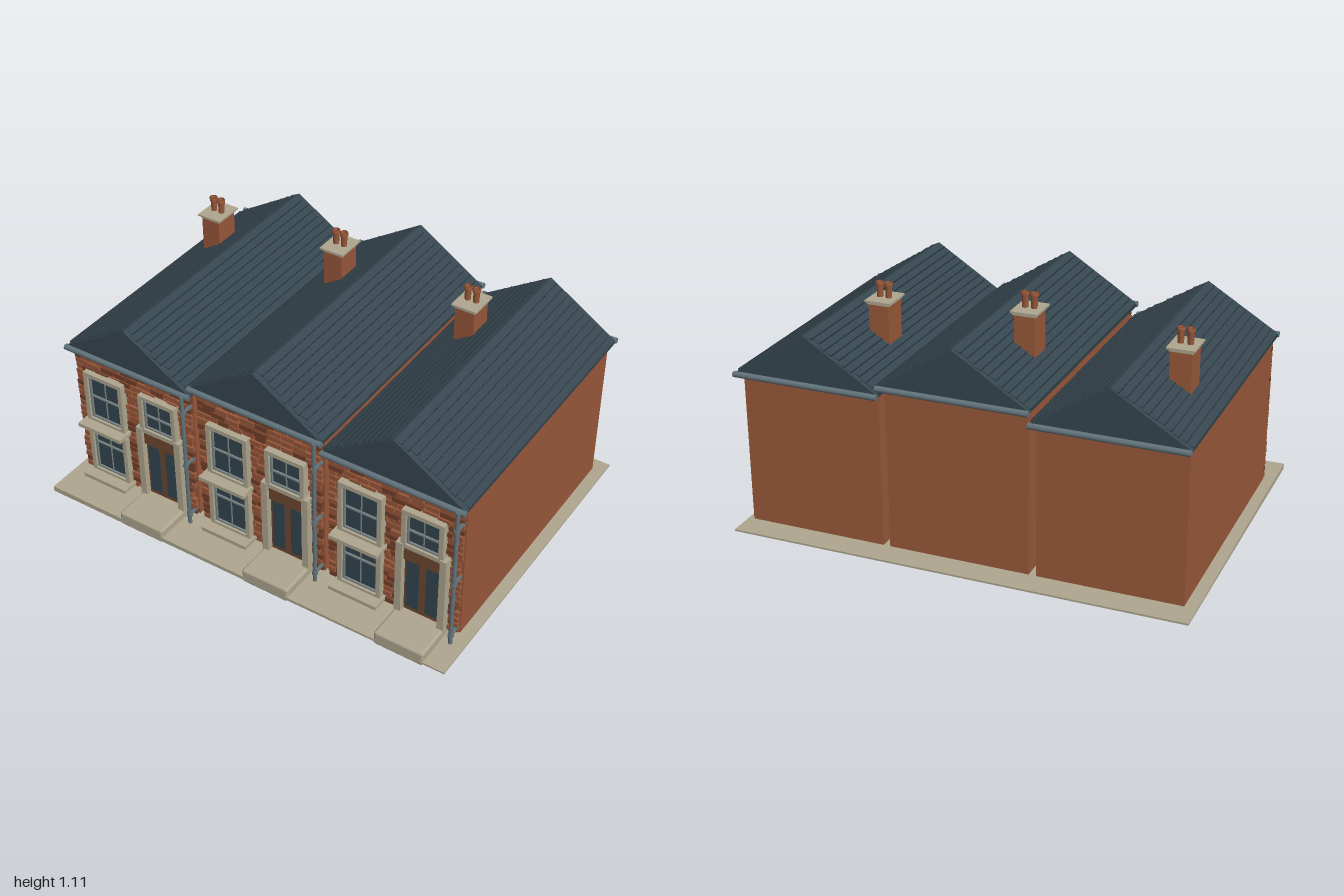
import * as THREE from 'three';
import { mergeGeometries } from 'three/addons/utils/BufferGeometryUtils.js';
import { RoundedBoxGeometry } from 'three/addons/geometries/RoundedBoxGeometry.js';

const mat = (name, color) => Object.assign(new THREE.MeshStandardMaterial({ color }), { name });
const M = {
  brick: mat('brick', 0x99583a),
  darkBrick: mat('darkBrick', 0x74402a),
  slate: mat('slate', 0x36464f),
  slateEdge: mat('darkSlate', 0x2a363d),
  pipe: mat('gutterGrey', 0x62737b),
  stone: mat('stone', 0xaea68f),
  glass: mat('glass', 0x34454f),
  wood: mat('doorWood', 0x6e4830),
  sash: mat('sashGrey', 0x7b8484),
};

// Box given by its limits on each axis
function boxGeo(x0, x1, y0, y1, z0, z1) {
  return new THREE.BoxGeometry(x1 - x0, y1 - y0, z1 - z0)
    .translate((x0 + x1) / 2, (y0 + y1) / 2, (z0 + z1) / 2);
}
function add(group, name, geo, material) {
  const mesh = new THREE.Mesh(geo, material);
  mesh.name = name;
  group.add(mesh);
  return mesh;
}
// Four bars around an opening
function frameGeo(x0, x1, y0, y1, z0, z1, t) {
  return mergeGeometries([
    boxGeo(x0, x0 + t, y0, y1, z0, z1), boxGeo(x1 - t, x1, y0, y1, z0, z1),
    boxGeo(x0 + t, x1 - t, y0, y0 + t, z0, z1), boxGeo(x0 + t, x1 - t, y1 - t, y1, z0, z1),
  ]);
}
function seeded(seed) {
  return () => (seed = (seed * 16807) % 2147483647) / 2147483647;
}

function makeWindow(name, x0, x1, y0, y1, barY, sill) {
  const g = new THREE.Group();
  g.name = name;
  const xm = (x0 + x1) / 2;
  add(g, 'surround', frameGeo(x0, x1, y0, y1, 0.54, 0.585, 0.02), M.stone);
  add(g, 'glass', boxGeo(x0 + 0.02, x1 - 0.02, y0 + 0.02, y1 - 0.02, 0.54, 0.565), M.glass);
  add(g, 'sash', mergeGeometries([
    frameGeo(x0 + 0.02, x1 - 0.02, y0 + 0.02, y1 - 0.02, 0.555, 0.574, 0.008),
    boxGeo(x0 + 0.02, x1 - 0.02, barY - 0.004, barY + 0.004, 0.555, 0.573),
    boxGeo(xm - 0.002, xm + 0.002, y0 + 0.02, y1 - 0.02, 0.555, 0.57),
  ]), M.sash);
  if (sill) add(g, 'sill', boxGeo(x0 - 0.012, x1 + 0.012, y0 - 0.01, y0 + 0.008, 0.54, 0.635), M.stone);
  return g;
}

function makeDoor() {
  const g = new THREE.Group();
  g.name = 'door';
  add(g, 'jambs', mergeGeometries([
    boxGeo(0.025, 0.055, 0.06, 0.44, 0.54, 0.59), boxGeo(0.225, 0.255, 0.06, 0.44, 0.54, 0.59),
  ]), M.stone);
  add(g, 'doorLeaf', boxGeo(0.055, 0.225, 0.06, 0.36, 0.54, 0.562), M.wood);
  add(g, 'transom', boxGeo(0.055, 0.225, 0.35, 0.425, 0.54, 0.575), M.wood);
  add(g, 'doorPanels', mergeGeometries([
    boxGeo(0.066, 0.124, 0.09, 0.35, 0.56, 0.567), boxGeo(0.156, 0.214, 0.09, 0.35, 0.56, 0.567),
  ]), M.glass);
  const step = new RoundedBoxGeometry(0.23, 0.068, 0.2, 2, 0.012).translate(0.14, 0.034, 0.645);
  add(g, 'doorstep', step, M.stone);
  return g;
}

// Raised brick courses on the front, left out behind the openings
function addBricks(g, top, rand) {
  const openings = [[-0.25, -0.045, 0.07, 0.33], [-0.25, -0.045, 0.35, 0.615], [0.03, 0.25, 0, 0.615]];
  const sets = [[], []];
  const rows = Math.round((top - 0.05) / 0.029), h = (top - 0.05) / rows;
  for (let r = 0; r < rows; r++) {
    const y = 0.05 + r * h;
    let x = -0.309;
    while (x < 0.29) {
      const w = (x < -0.3 && r % 2) ? 0.035 : 0.055 + rand() * 0.02;
      const x1 = Math.min(x + w, 0.309);
      const hidden = openings.some(([a, b, c, d]) => x > a && x1 < b && y > c && y + h < d);
      if (!hidden) {
        sets[rand() < 0.35 ? 1 : 0].push(
          boxGeo(x, x1 - 0.006, y + 0.002, y + h - 0.004, 0.53, 0.551 + rand() * 0.01));
      }
      x = x1;
    }
  }
  add(g, 'frontBricks', mergeGeometries(sets[0]), M.brick);
  add(g, 'darkFrontBricks', mergeGeometries(sets[1]), M.darkBrick);
}

function makeRoof(eave, ridge, rand) {
  const g = new THREE.Group();
  g.name = 'roof';
  const hw = 0.322, rise = ridge - eave;
  const gable = new THREE.Shape([[-hw, -0.012], [hw, -0.012], [hw, 0], [0, rise], [-hw, 0]]
    .map(([x, y]) => new THREE.Vector2(x, y)));
  const prism = new THREE.ExtrudeGeometry(gable, { depth: 1.285, bevelEnabled: false });
  add(g, 'roofBody', prism.translate(0, eave, -0.70), M.slate);

  // Overlapping slate courses, lower edges slightly lifted
  const n = 11, slope = Math.atan2(rise, hw), len = Math.hypot(rise, hw) / n;
  const courses = [], edges = [];
  for (const s of [-1, 1]) {
    for (let i = 0; i < n; i++) {
      const t = (i + 0.5) / n, depth = 1.27 - rand() * 0.04;
      const place = (geo) => geo.rotateZ(-s * (slope - 0.12))
        .translate(s * hw * t, ridge - rise * t + 0.001, -0.0575);
      courses.push(place(new THREE.BoxGeometry(len, 0.004, depth)));
      edges.push(place(new THREE.BoxGeometry(0.004, 0.006, depth).translate(s * len * 0.5, 0, 0)));
    }
  }
  add(g, 'slateCourses', mergeGeometries(courses), M.slate);
  add(g, 'slateEdges', mergeGeometries(edges), M.slateEdge);

  // Gutters along the front and back
  for (const [name, z] of [['frontGutter', 0.59], ['backGutter', -0.71]]) {
    const tube = new THREE.CylinderGeometry(0.013, 0.013, 0.65, 10).rotateZ(Math.PI / 2);
    add(g, name, tube.translate(0, eave - 0.005, z), M.pipe);
  }
  return g;
}

function makeChimney(top) {
  const g = new THREE.Group();
  g.name = 'chimney';
  g.position.set(-0.165, 0, -0.3);
  add(g, 'stack', boxGeo(-0.045, 0.045, 0.72, top, -0.058, 0.058), M.brick);
  add(g, 'stackCap', mergeGeometries([
    boxGeo(-0.05, 0.05, top - 0.004, top + 0.006, -0.062, 0.062),
    boxGeo(-0.058, 0.058, top + 0.006, top + 0.014, -0.07, 0.07),
  ]), M.stone);
  const profile = [[0.013, 0], [0.014, 0.045], [0.018, 0.05], [0.018, 0.066], [0.011, 0.066], [0.01, 0.04], [0, 0.04]]
    .map(([x, y]) => new THREE.Vector2(x, y));
  for (const x of [-0.02, 0.02]) {
    add(g, 'chimneyPot', new THREE.LatheGeometry(profile, 12), M.brick).position.set(x, top + 0.014, 0);
  }
  return g;
}

function makeHouse(x, eave, ridge, chimneyTop, seed) {
  const g = new THREE.Group(), rand = seeded(seed);
  g.name = 'house';
  g.position.x = x;
  add(g, 'walls', boxGeo(-0.308, 0.308, 0.045, eave - 0.005, -0.66, 0.54), M.brick);
  addBricks(g, eave - 0.015, rand);
  g.add(makeWindow('lowerWindow', -0.25, -0.045, 0.07, 0.325, 0.235, true));
  g.add(makeWindow('upperWindow', -0.25, -0.045, 0.355, 0.615, 0.49, true));
  g.add(makeWindow('windowOverDoor', 0.045, 0.235, 0.42, 0.615, 0.51, false));
  g.add(makeDoor(), makeRoof(eave, ridge, rand), makeChimney(chimneyTop));

  // Downpipe with wall brackets
  const parts = [new THREE.CylinderGeometry(0.009, 0.009, eave - 0.035, 10).translate(0, (eave + 0.035) / 2, 0)];
  for (const y of [0.08, 0.36, 0.64]) {
    parts.push(new THREE.CylinderGeometry(0.013, 0.013, 0.014, 10).translate(0, y, 0));
    parts.push(new THREE.BoxGeometry(0.012, 0.01, 0.06).translate(0, y, -0.03));
  }
  add(g, 'downpipe', mergeGeometries(parts), M.pipe).position.set(0.298, 0, 0.602);
  return g;
}

export function createModel() {
  const model = new THREE.Group();
  model.name = 'terracedHouses';

  // Pavement slab, thickest at the front right corner of the street
  const slab = new THREE.BoxGeometry(2, 1, 1.49);
  const p = slab.attributes.position;
  for (let i = 0; i < p.count; i++) {
    const thick = p.getX(i) < 0 && p.getZ(i) > 0 ? 0.013 : 0.004;
    p.setY(i, 0.021 + Math.sign(p.getY(i)) * thick);
  }
  slab.computeVertexNormals();
  add(model, 'pavement', slab, M.stone);

  model.add(
    makeHouse(-0.648, 0.727, 0.925, 0.97, 11),
    makeHouse(0, 0.775, 0.98, 1.025, 57),
    makeHouse(0.646, 0.735, 0.94, 0.98, 93),
  );
  return model;
}
